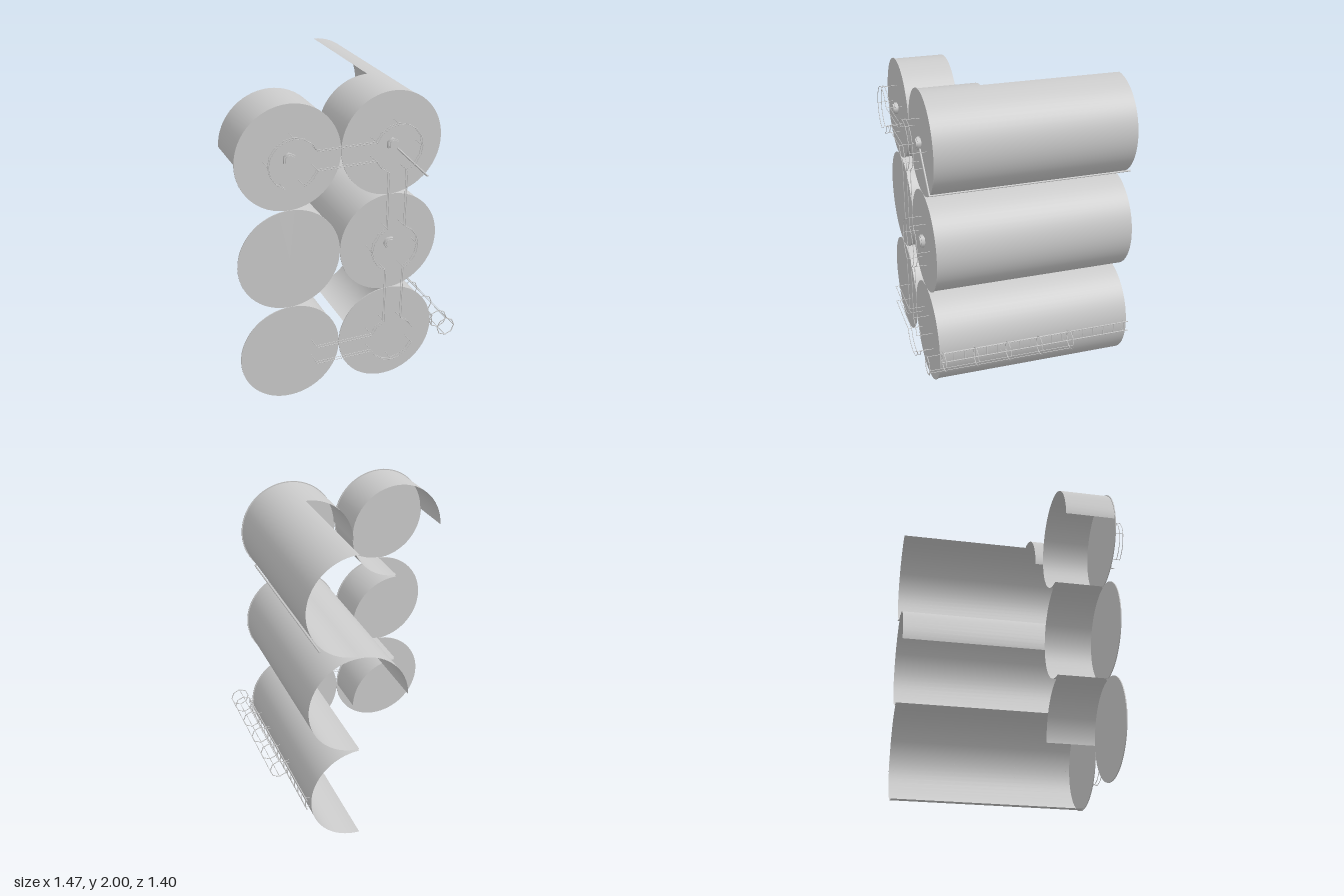
import * as THREE from 'three';

const grey = new THREE.MeshStandardMaterial({ color: 0xcccccc, side: THREE.DoubleSide });
const RAD = Math.PI / 180;
const LID_Z = 0.585, BACK_Z = -0.7;
const COLS = [-0.4, 0.267], ROWS = [0.333, 1.0, 1.667];

function add(parent, name, geometry) {
  const mesh = new THREE.Mesh(geometry, grey);
  mesh.name = name;
  parent.add(mesh);
  return mesh;
}

function subgroup(parent, name) {
  const g = new THREE.Group();
  g.name = name;
  parent.add(g);
  return g;
}

// Straight round bar between two points
function bar(parent, name, a, b, r = 0.002, sides = 6) {
  const p = new THREE.Vector3(...a), q = new THREE.Vector3(...b);
  const d = q.clone().sub(p);
  const mesh = add(parent, name, new THREE.CylinderGeometry(r, r, d.length(), sides));
  mesh.position.copy(p).add(q).multiplyScalar(0.5);
  mesh.quaternion.setFromUnitVectors(new THREE.Vector3(0, 1, 0), d.normalize());
}

// Cylinder lying along z from z0 to z1
function zCylinder(parent, name, x, y, z0, z1, r, sides, turn = 0) {
  const geo = new THREE.CylinderGeometry(r, r, z1 - z0, sides);
  geo.rotateY(turn).rotateX(Math.PI / 2).translate(x, y, (z0 + z1) / 2);
  return add(parent, name, geo);
}

// Open wall section, angles in degrees counter-clockwise from +x
function wall(parent, x, y, from, to, zBack) {
  const geo = new THREE.CylinderGeometry(0.327, 0.327, LID_Z - zBack, Math.round((to - from) / 6), 1, true,
    (from + 90) * RAD, (to - from) * RAD);
  geo.rotateX(Math.PI / 2).translate(x, y, (LID_Z + zBack) / 2);
  add(parent, 'tankWall', geo);
}

// Points round a platform, every 22.5 degrees
function arc(x, y, from, to, r = 0.157) {
  const n = Math.round(Math.abs(to - from) / 22.5), pts = [];
  for (let i = 0; i <= n; i++) {
    const a = (from + (to - from) * i / n) * RAD;
    pts.push([x + r * Math.cos(a), y + r * Math.sin(a)]);
  }
  return pts;
}

// Two-bar handrail along an xy path, with posts at bends
function railing(parent, path) {
  const g = subgroup(parent, 'handrail');
  for (const z of [0.672, 0.695])
    for (let i = 1; i < path.length; i++)
      bar(g, 'rail', [...path[i - 1], z], [...path[i], z]);
  path.forEach((p, i) => {
    const a = path[i - 1], b = path[i + 1];
    const longSide = [a, b].some(q => q && Math.hypot(q[0] - p[0], q[1] - p[1]) > 0.1);
    const quarter = COLS.some(x => Math.abs(x - p[0]) < 0.01) || ROWS.some(y => Math.abs(y - p[1]) < 0.01);
    if (!a || !b || longSide || quarter) bar(g, 'post', [...p, 0.588], [...p, 0.695]);
  });
}

export function createModel() {
  const model = new THREE.Group();
  model.name = 'tankGroup';
  const [L, R] = COLS, [low, mid, high] = ROWS;

  // Tanks: each has wall sections [from, to, back z]
  const tanks = [
    [L, low, [[0, 90, 0.26]]],
    [L, mid, [[-90, 90, 0.26]]],
    [L, high, [[-90, 180, 0.26]]],
    [R, low, [[-90, 90, BACK_Z]]],
    [R, mid, [[-90, 180, BACK_Z]]],
    [R, high, [[-90, 90, BACK_Z], [90, 180, 0.21]]],
  ];
  for (const [x, y, walls] of tanks) {
    const tank = subgroup(model, 'tank');
    zCylinder(tank, 'tankLid', x, y, LID_Z, 0.591, 0.333, 60);
    for (const [from, to, zBack] of walls) wall(tank, x, y, from, to, zBack);
  }

  // Hexagonal hatches
  for (const [x, y, turn] of [[L, high, 0], [R, high, 0], [R, mid, Math.PI / 6]]) {
    const hatch = subgroup(model, 'hatch');
    zCylinder(hatch, 'hatchNeck', x, y, 0.59, 0.625, 0.032, 6, turn);
    zCylinder(hatch, 'hatchCap', x, y, 0.596, 0.616, 0.041, 6, turn);
  }

  // Handrails round the platforms and along the walkways
  const rails = subgroup(model, 'handrails');
  railing(rails, [...arc(L, high, 247.5, 22.5), ...arc(R, high, 157.5, -67.5),
    ...arc(R, mid, 67.5, -67.5), ...arc(R, low, 67.5, 22.5)]);
  railing(rails, [...arc(L, high, -67.5, -22.5), ...arc(R, high, 202.5, 247.5),
    ...arc(R, mid, 112.5, 247.5), ...arc(R, low, 112.5, 157.5), [-0.26, low + 0.06]]);
  railing(rails, [[-0.26, low - 0.06], ...arc(R, low, 202.5, 337.5)]);

  // Pipe from the top hatch over the lid edge and along the wall
  const pipe = subgroup(model, 'pipe');
  bar(pipe, 'pipeAcross', [R, high, 0.603], [0.514, 1.42, 0.603], 0.006, 8);
  bar(pipe, 'pipeAlong', [0.514, 1.42, 0.607], [0.514, 1.42, BACK_Z], 0.006, 8);

  // Ladder
  const ladder = subgroup(model, 'ladder');
  for (const y of [low - 0.034, low + 0.034]) {
    bar(ladder, 'ladderRail', [0.622, y, BACK_Z], [0.622, y, 0.585], 0.004);
    for (const z of [-0.67, -0.245, 0.185, 0.56])
      bar(ladder, 'ladderBracket', [0.588, y, z], [0.622, y, z]);
  }
  for (let z = -0.67; z < 0.58; z += 0.0735)
    bar(ladder, 'rung', [0.622, low - 0.034, z], [0.622, low + 0.034, z], 0.0025);

  // Safety cage: octagonal hoops joined by long strips
  const cage = subgroup(model, 'safetyCage');
  const ring = arc(0.668, low, 0, 360, 0.063).filter((p, i) => i % 2 === 0);
  for (const z of [-0.27, -0.058, 0.155, 0.37, 0.58, 0.688]) {
    for (let i = 1; i < ring.length; i++)
      bar(cage, 'hoop', [...ring[i - 1], z], [...ring[i], z], 0.003);
    if (z < 0.6) for (const s of [-1, 1])
      bar(cage, 'hoopBracket', [0.595, low + s * 0.034, z], [0.622, low + s * 0.034, z]);
  }
  for (const i of [0, 2, 6])
    bar(cage, 'cageStrip', [...ring[i], -0.27], [...ring[i], 0.688]);

  return model;
}
